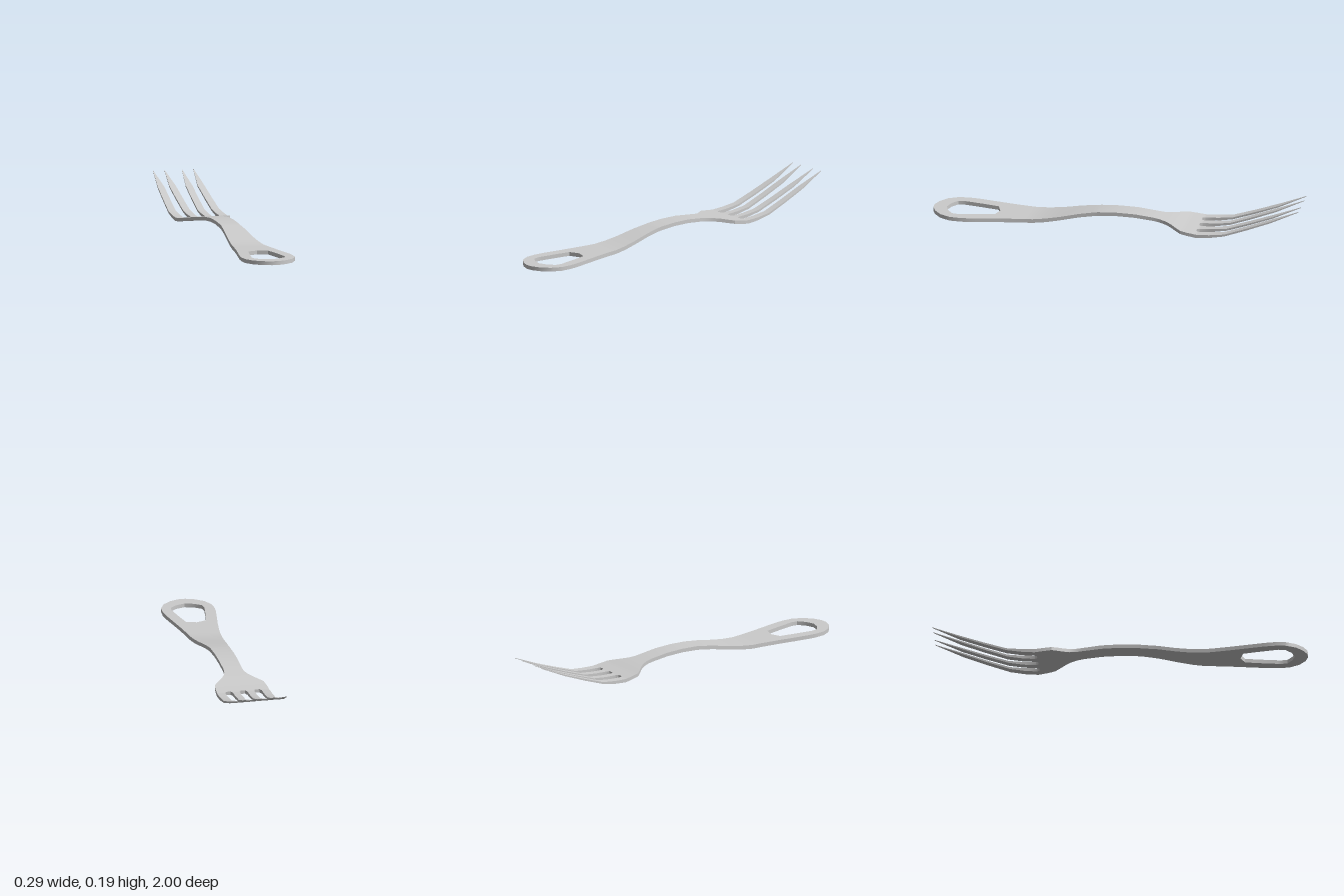
import * as THREE from 'three';
import { mergeGeometries, toCreasedNormals } from 'three/addons/utils/BufferGeometryUtils.js';

// Height of the underside and the top along the length: [z, bottom, top]
const PROFILE = [
  [-1, 0.19, 0.193], [-0.85, 0.122, 0.13], [-0.72, 0.072, 0.082], [-0.6, 0.03, 0.041], [-0.52, 0.016, 0.032],
  [-0.45, 0.01, 0.029], [-0.38, 0.02, 0.038], [-0.3, 0.035, 0.054], [-0.2, 0.05, 0.069], [-0.1, 0.06, 0.08],
  [0, 0.062, 0.082], [0.1, 0.056, 0.077], [0.2, 0.042, 0.062], [0.3, 0.021, 0.041],
  [0.38, 0.007, 0.028], [0.45, 0, 0.021], [1, 0, 0.021],
];

// Half width of the body: [z, x]
const OUTLINE = [
  [-0.44, 0.142], [-0.4, 0.14], [-0.36, 0.134], [-0.335, 0.115], [-0.3, 0.085], [-0.27, 0.065], [-0.235, 0.053],
  [-0.2, 0.05], [0.12, 0.052], [0.3, 0.069], [0.5, 0.09], [0.6, 0.105], [0.7, 0.123], [0.78, 0.137], [0.83, 0.142],
  [0.89, 0.138], [0.945, 0.11], [0.982, 0.065], [1, 0.02],
];

// Half width of the hole in the handle
const HOLE = [[0.64, 0], [0.66, 0.055], [0.75, 0.073], [0.85, 0.09], [0.885, 0.085], [0.915, 0.048], [0.93, 0]];

// Inner and outer edges of the tines on the +x side
const TINES = [
  {
    name: 'innerTine',
    a: [[-1, 0.047], [-0.85, 0.027], [-0.6, 0.021], [-0.455, 0.021], [-0.44, 0.013]],
    b: [[-1, 0.049], [-0.85, 0.063], [-0.6, 0.059], [-0.455, 0.058], [-0.44, 0.066]],
  },
  {
    name: 'outerTine',
    a: [[-1, 0.11], [-0.85, 0.092], [-0.6, 0.099], [-0.455, 0.1], [-0.44, 0.092]],
    b: [[-1, 0.112], [-0.85, 0.128], [-0.6, 0.14], [-0.5, 0.143], [-0.44, 0.142]],
  },
];

// Linear lookup in a list of [z, value, ...]
function at(list, z, column = 1) {
  let i = 1;
  while (i < list.length - 1 && list[i][0] < z) i++;
  const [p, q] = [list[i - 1], list[i]];
  const t = THREE.MathUtils.clamp((z - p[0]) / (q[0] - p[0]), 0, 1);
  return THREE.MathUtils.lerp(p[column], q[column], t);
}

const negate = (list) => list.map(([z, x]) => [z, -x]);

// Solid strip between two edges (a at lower x), following the height profile
function ribbon(a, b, z0, z1, capStart = false, capEnd = false) {
  const inside = [...a, ...b, ...PROFILE].map((p) => p[0]).filter((z) => z > z0 && z < z1);
  const zs = [...new Set([z0, ...inside, z1])].sort((p, q) => p - q);
  const rows = zs.map((z) => {
    const [xa, xb, low, top] = [at(a, z), at(b, z), at(PROFILE, z, 1), at(PROFILE, z, 2)];
    return [[xa, top, z], [xb, top, z], [xb, low, z], [xa, low, z]];
  });
  const positions = [];
  const quad = (p, q, r, s) => positions.push(...p, ...q, ...r, ...p, ...r, ...s);
  for (let i = 0; i < rows.length - 1; i++) {
    for (let j = 0; j < 4; j++) {
      const k = (j + 1) % 4;
      quad(rows[i][j], rows[i + 1][j], rows[i + 1][k], rows[i][k]);
    }
  }
  const last = rows[rows.length - 1];
  if (capStart) quad(...rows[0]);
  if (capEnd) quad(last[3], last[2], last[1], last[0]);
  const geometry = new THREE.BufferGeometry();
  geometry.setAttribute('position', new THREE.Float32BufferAttribute(positions, 3));
  return geometry;
}

export function createModel() {
  const group = new THREE.Group();
  group.name = 'fork';
  const material = new THREE.MeshStandardMaterial({ color: 0xcccccc });
  const add = (name, geometry) => {
    const mesh = new THREE.Mesh(toCreasedNormals(geometry, 0.5), material);
    mesh.name = name;
    group.add(mesh);
  };

  // Head, neck and handle, split in two around the hole
  const left = OUTLINE;
  const right = negate(OUTLINE);
  add('handleAndHead', mergeGeometries([
    ribbon(right, left, -0.44, 0.64, true),
    ribbon(HOLE, left, 0.64, 0.93),
    ribbon(right, negate(HOLE), 0.64, 0.93),
    ribbon(right, left, 0.93, 1, false, true),
  ]));

  // Four tines, mirrored in pairs
  for (const { name, a, b } of TINES) {
    add(name + 'Left', ribbon(a, b, -1, -0.44, true));
    add(name + 'Right', ribbon(negate(b), negate(a), -1, -0.44, true));
  }
  return group;
}
